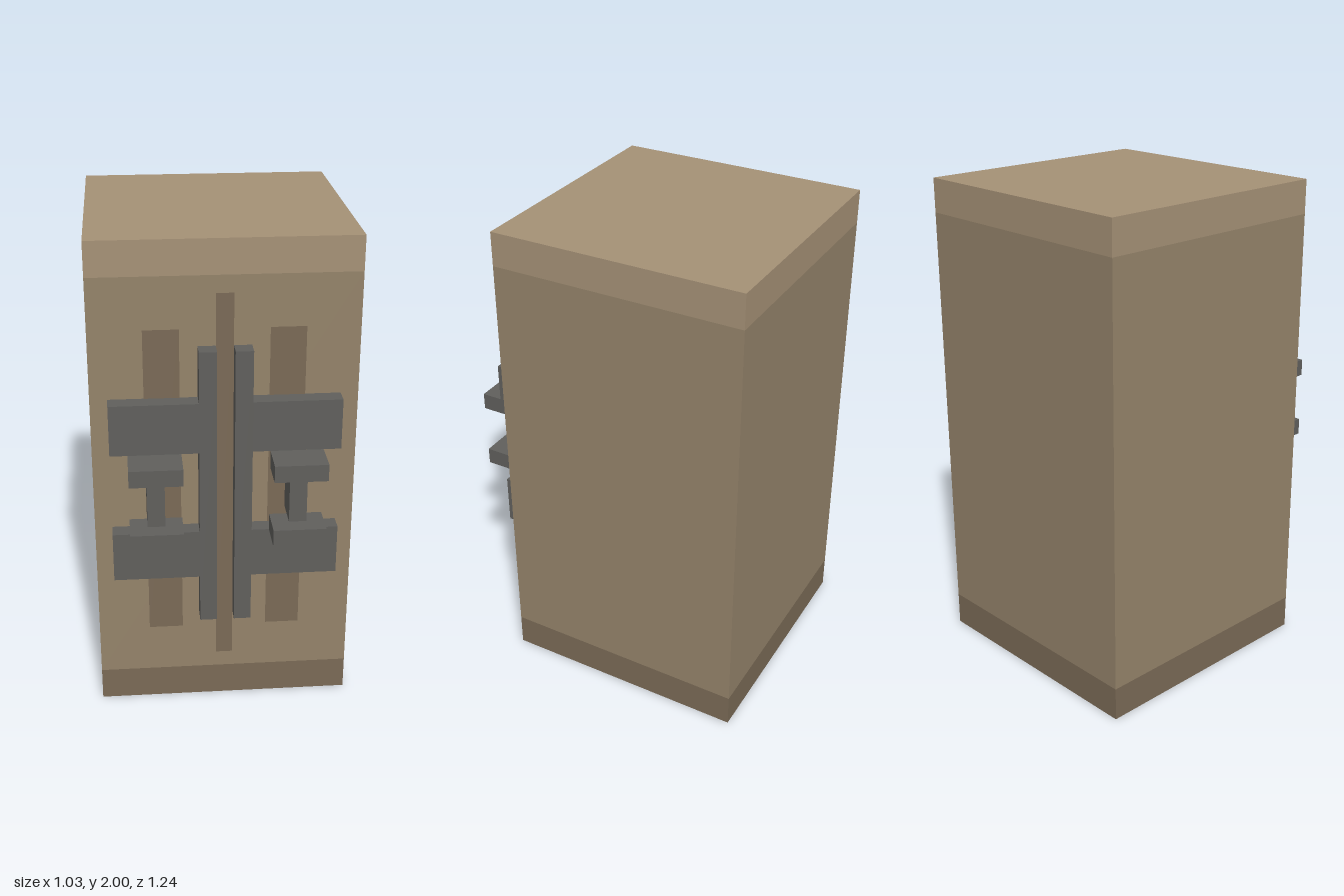
import * as THREE from 'three';

// All parts sit on a regular grid: 29 units tall, 15 wide, 18 deep overall
const U = 2 / 29;

const material = (color) => new THREE.MeshStandardMaterial({ color, flatShading: true });

export function createModel() {
  const model = new THREE.Group();
  const wood = material(0x94836a);
  const lightWood = material(0xa59176);
  const darkWood = material(0x7a6a56);
  const metal = material(0x605f5c);

  // Box from its lower and upper limits, in grid units
  function box(name, mat, [x0, x1], [y0, y1], [z0, z1]) {
    const mesh = new THREE.Mesh(
      new THREE.BoxGeometry((x1 - x0) * U, (y1 - y0) * U, (z1 - z0) * U), mat);
    mesh.position.set((x0 + x1) * U / 2, (y0 + y1) * U / 2, (z0 + z1) * U / 2);
    mesh.name = name;
    model.add(mesh);
  }

  // Flat painted strip on the front face
  function strip(name, [x0, x1], [y0, y1]) {
    const mesh = new THREE.Mesh(
      new THREE.PlaneGeometry((x1 - x0) * U, (y1 - y0) * U), darkWood);
    mesh.position.set((x0 + x1) * U / 2, (y0 + y1) * U / 2, 6 * U + 0.002);
    mesh.name = name;
    model.add(mesh);
  }

  // Cabinet body with a light top band and a dark base band
  const width = [-7.5, 7.5], depth = [-9, 6];
  box('baseBand', darkWood, width, [0, 2], depth);
  box('body', wood, width, [2, 27], depth);
  box('topBand', lightWood, width, [27, 29], depth);

  strip('doorGap', [-0.5, 0.5], [3, 26]);

  // Fittings, mirrored for the two doors
  for (const [side, s] of [['left', 1], ['right', -1]]) {
    const span = (a, b) => (s > 0 ? [a, b] : [-b, -a]);
    strip(side + 'DoorPanel', span(2.5, 4.5), [5, 24]);
    box(side + 'DoorRail', metal, span(0.5, 1.5), [6, 23], [6, 7]);
    box(side + 'HandleGrip', metal, span(3.5, 4.5), [13, 16], [6, 8]);
    for (const [level, plateY, bracketY] of [['Lower', 9, 12], ['Upper', 17, 16]]) {
      box(side + level + 'Plate', metal, span(1.5, 6.5), [plateY, plateY + 3], [6, 7]);
      box(side + level + 'HandleBracket', metal, span(2.5, 5.5), [bracketY, bracketY + 1], [7, 9]);
    }
  }
  return model;
}
